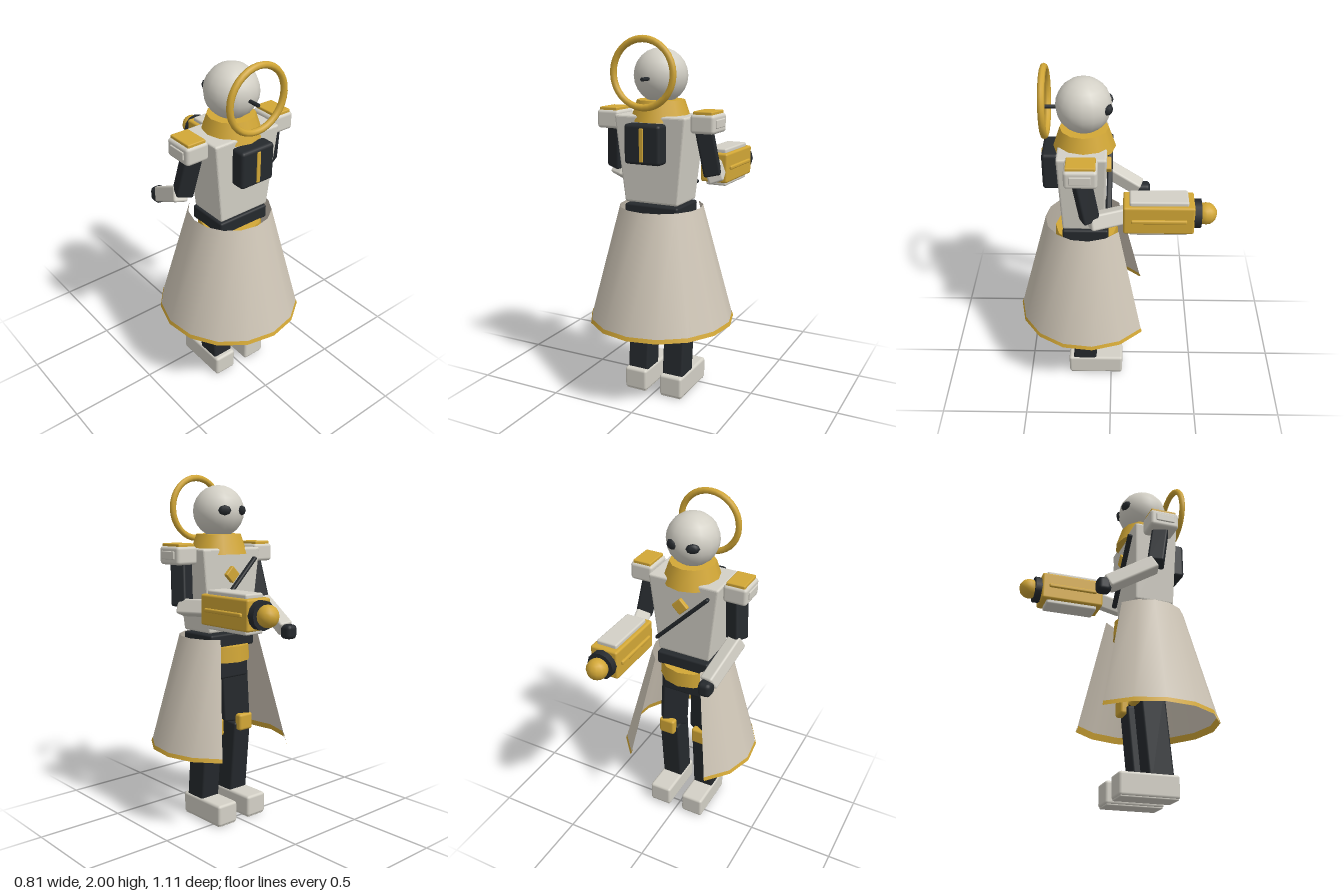
import * as THREE from 'three';
import { RoundedBoxGeometry } from 'three/addons/geometries/RoundedBoxGeometry.js';

const mat = (color, side = THREE.FrontSide) => new THREE.MeshStandardMaterial({ color, side });
const white = mat(0xd3d0c6), gold = mat(0xd2a736), dark = mat(0x25292d);
const cloth = mat(0xcfc6b7, THREE.DoubleSide), trim = mat(0xd2a736, THREE.DoubleSide);
const V = (x, y, z) => new THREE.Vector3(x, y, z);
const CZ = 0.14; // depth of the body axis

export function createModel() {
  const model = new THREE.Group();
  model.name = 'robedRobot';

  const add = (name, geometry, material, x, y, z) => {
    const mesh = new THREE.Mesh(geometry, material);
    mesh.name = name;
    mesh.position.set(x, y, z);
    model.add(mesh);
    return mesh;
  };
  const rbox = (w, h, d, r = 0.012) => new RoundedBoxGeometry(w, h, d, 2, Math.min(r, w * 0.45, h * 0.45, d * 0.45));
  const box = (name, material, [w, h, d], [x, y, z], r) => add(name, rbox(w, h, d, r), material, x, y, z);
  // bevelled beam running between two points
  const beam = (name, material, a, b, w, d) => {
    const dir = b.clone().sub(a), mid = a.clone().add(b).multiplyScalar(0.5);
    const mesh = box(name, material, [w, dir.length(), d], mid.toArray());
    mesh.quaternion.setFromUnitVectors(V(0, 1, 0), dir.normalize());
    return mesh;
  };

  // Torso: a bevelled block tapering towards the waist
  const torso = rbox(0.42, 0.47, 0.26);
  const p = torso.attributes.position;
  for (let i = 0; i < p.count; i++) {
    const t = 0.5 - p.getY(i) / 0.47;
    p.setX(i, p.getX(i) * (1 - 0.25 * t));
    p.setZ(i, p.getZ(i) * (1 - 0.12 * t));
  }
  torso.computeVertexNormals();
  add('torso', torso, white, 0, 1.35, 0.149);

  // Chest strap and badge
  beam('chestStrap', dark, V(0.16, 1.2, 0.012), V(-0.16, 1.53, 0.005), 0.022, 0.03);
  box('chestBadge', gold, [0.07, 0.07, 0.03], [0.01, 1.44, 0.015], 0.006).rotation.z = Math.PI / 4;

  // Waist, belt and pelvis
  box('waist', dark, [0.32, 0.08, 0.25], [0, 1.066, CZ]);
  add('belt', new THREE.CylinderGeometry(0.175, 0.18, 0.09, 12), gold, 0, 0.99, CZ);
  box('pelvis', dark, [0.27, 0.12, 0.2], [0, 0.9, CZ]);

  // Open-fronted skirt with hem
  const arc = 1.58 * Math.PI;
  const cone = (r1, r2, h) => new THREE.CylinderGeometry(r1, r2, h, 12, 1, true, -arc / 2, arc);
  add('skirt', cone(0.23, 0.404, 0.65), cloth, 0, 0.763, CZ);
  add('skirtHem', cone(0.401, 0.408, 0.022), trim, 0, 0.447, CZ);
  add('skirtHemLining', cone(0.392, 0.402, 0.035), trim, 0, 0.453, CZ);

  // Collar, head and halo
  add('collar', new THREE.CylinderGeometry(0.128, 0.165, 0.11, 12), gold, 0, 1.607, CZ);
  add('head', new THREE.SphereGeometry(0.145, 16, 12), white, 0, 1.787, CZ);
  add('halo', new THREE.TorusGeometry(0.172, 0.018, 8, 32), gold, 0, 1.805, 0.338);
  add('haloRod', new THREE.CylinderGeometry(0.01, 0.01, 0.08, 8), dark, 0, 1.776, 0.308).rotation.x = Math.PI / 2;

  // Backpack
  box('backpack', dark, [0.21, 0.21, 0.09], [0, 1.445, 0.318], 0.018);
  box('backpackStripe', gold, [0.024, 0.175, 0.012], [0, 1.443, 0.362], 0.004);

  for (const s of [1, -1]) {
    const side = s > 0 ? 'left' : 'right';

    // Eyes
    const eye = add(side + 'Eye', new THREE.SphereGeometry(1, 6, 4), dark, s * 0.062, 1.792, 0.013);
    eye.scale.set(0.038, 0.028, 0.02);
    eye.rotation.y = s * -0.45;

    // Shoulders and upper arms
    box(side + 'Shoulder', white, [0.136, 0.1, 0.17], [s * 0.28, 1.551, 0.148], 0.018);
    box(side + 'ShoulderCap', gold, [0.108, 0.024, 0.15], [s * 0.28, 1.604, 0.148], 0.006);
    box(side + 'ShoulderPlate', white, [0.012, 0.045, 0.11], [s * 0.349, 1.553, 0.15], 0.005);
    beam(side + 'UpperArm', dark, V(s * 0.257, 1.53, 0.155), V(s * 0.29, 1.275, 0.106), 0.092, 0.092);

    // Legs
    const knee = V(s * 0.11, 0.56, 0.122);
    beam(side + 'Thigh', dark, V(s * 0.1, 0.97, CZ), knee, 0.135, 0.155);
    beam(side + 'Shin', dark, knee, V(s * 0.11, 0.08, 0.166), 0.125, 0.14);
    box(side + 'KneePad', gold, [0.1, 0.1, 0.05], [s * 0.11, 0.56, 0.045], 0.015);
    box(side + 'Foot', white, [0.138, 0.125, 0.33], [s * 0.111, 0.0675, 0.095], 0.016);
    box(side + 'Sole', white, [0.125, 0.02, 0.315], [s * 0.111, 0.01, 0.095], 0.006);
  }

  // Free right forearm and hand
  beam('rightForearm', white, V(-0.298, 1.27, 0.1), V(-0.248, 1.125, -0.16), 0.08, 0.085);
  box('rightHand', dark, [0.075, 0.085, 0.08], [-0.248, 1.112, -0.183], 0.025);

  // Left forearm carrying the cannon
  beam('leftForearm', white, V(0.3, 1.27, 0.11), V(0.225, 1.275, -0.1), 0.085, 0.085);
  const cx = 0.22, cy = 1.276;
  box('cannonBody', gold, [0.16, 0.165, 0.37], [cx, cy, -0.25]);
  for (const s of [1, -1]) {
    box('cannonPlate', white, [0.12, 0.03, 0.305], [cx, cy + s * 0.09, -0.25], 0.01);
    box('cannonRail', gold, [0.022, 0.022, 0.29], [cx + s * 0.081, cy, -0.25], 0.008);
  }
  add('cannonRing', new THREE.CylinderGeometry(0.077, 0.077, 0.045, 12), dark, cx, cy, -0.449).rotation.x = Math.PI / 2;
  add('cannonOrb', new THREE.SphereGeometry(0.059, 12, 8), gold, cx, cy, -0.498);

  return model;
}
